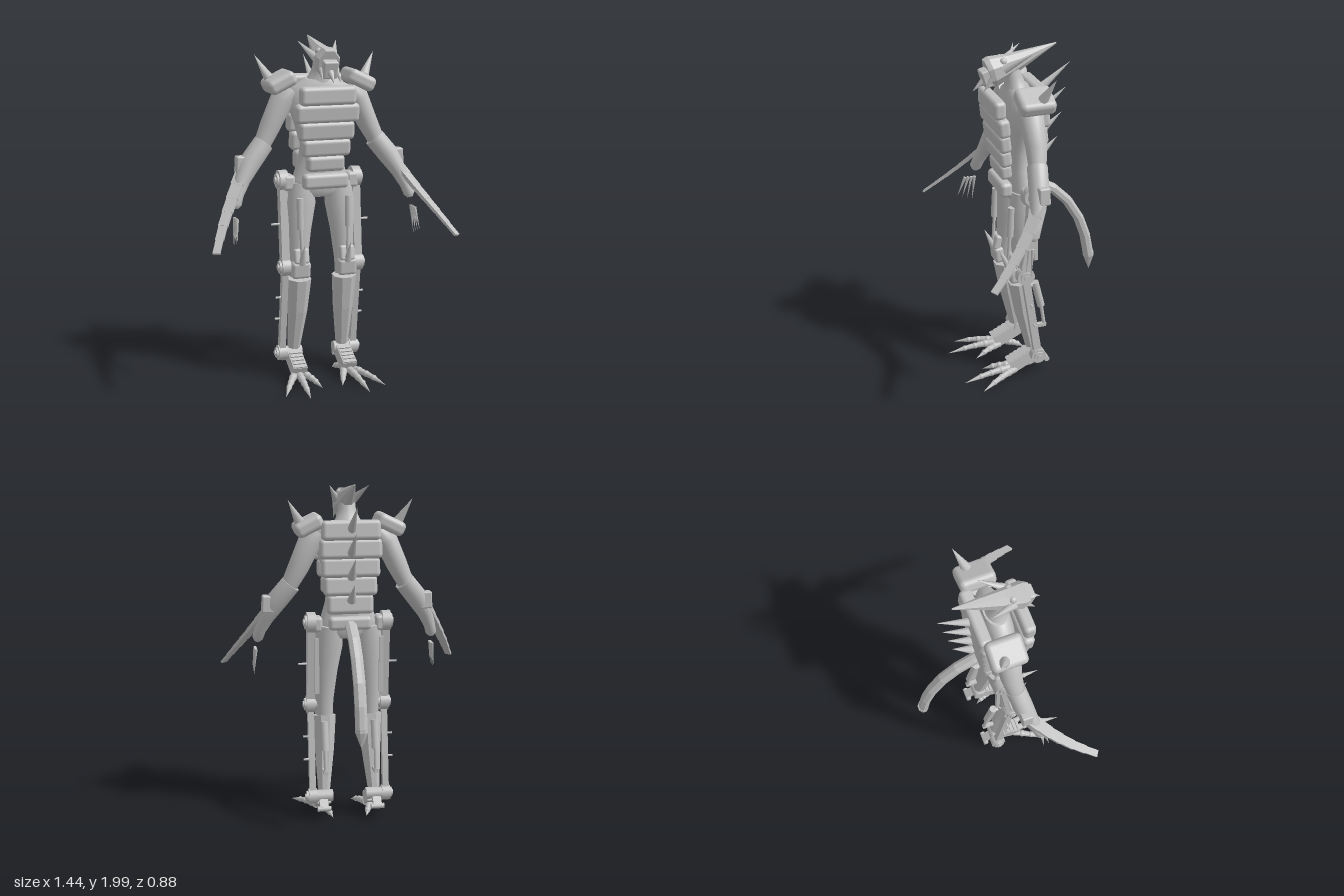
import * as THREE from 'three';
import { RoundedBoxGeometry } from 'three/addons/geometries/RoundedBoxGeometry.js';

const grey = new THREE.MeshStandardMaterial({ color: 0xc0c0c0 });
grey.name = 'light grey armour';
const V = (p) => new THREE.Vector3(...p);
const UP = new THREE.Vector3(0, 1, 0);

// Skin through elliptical rings [x, y, z, radiusAcross, radiusDeep] set square to their path
function sweepGeometry(st, sides, flat) {
  const pos = [], idx = [], c = st.map((s) => V(s));
  c.forEach((p, i) => {
    const t = c[Math.min(i + 1, c.length - 1)].clone().sub(c[Math.max(i - 1, 0)]).normalize();
    const u = new THREE.Vector3(1, 0, 0).addScaledVector(t, -t.x).normalize();
    const v = t.clone().cross(u);
    for (let j = 0; j < sides; j++) {
      const a = ((j + 0.5) / sides) * Math.PI * 2;
      const q = p.clone().addScaledVector(u, Math.cos(a) * st[i][3]).addScaledVector(v, Math.sin(a) * st[i][4]);
      pos.push(q.x, q.y, q.z);
    }
  });
  for (let i = 0; i < c.length - 1; i++) for (let j = 0; j < sides; j++) {
    const a = i * sides + j, b = i * sides + ((j + 1) % sides);
    idx.push(a, b, b + sides, a, b + sides, a + sides);
  }
  // End caps with their own corners
  [0, c.length - 1].forEach((ring, end) => {
    const base = pos.length / 3;
    pos.push(c[ring].x, c[ring].y, c[ring].z);
    for (let j = 0; j < sides; j++) pos.push(...pos.slice((ring * sides + j) * 3, (ring * sides + j) * 3 + 3));
    for (let j = 0; j < sides; j++) {
      const a = base + 1 + j, b = base + 1 + ((j + 1) % sides);
      if (end) idx.push(base, a, b); else idx.push(base, b, a);
    }
  });
  let g = new THREE.BufferGeometry();
  g.setAttribute('position', new THREE.Float32BufferAttribute(pos, 3));
  g.setIndex(idx);
  if (flat) g = g.toNonIndexed();
  g.computeVertexNormals();
  return g;
}

export function createModel() {
  const root = new THREE.Group();
  root.name = 'armouredCreature';
  const add = (name, geo, p = [0, 0, 0], r = [0, 0, 0]) => {
    const m = new THREE.Mesh(geo, grey);
    m.name = name;
    m.position.set(...p);
    m.rotation.set(...r);
    root.add(m);
    return m;
  };
  const sweep = (name, st, sides = 20, flat = false) => add(name, sweepGeometry(st, sides, flat));
  const plate = (name, size, p, r, radius = 0.02) => add(name, new RoundedBoxGeometry(...size, 3, radius), p, r);
  const between = (name, geo, a, b) => {
    const m = add(name, geo, V(a).lerp(V(b), 0.5).toArray());
    m.quaternion.setFromUnitVectors(UP, V(b).sub(V(a)).normalize());
    return m;
  };
  const dist = (a, b) => V(a).distanceTo(V(b));
  const rod = (name, a, b, r0, r1 = r0, n = 12) => between(name, new THREE.CylinderGeometry(r1, r0, dist(a, b), n), a, b);
  const spike = (name, a, b, r, n = 8) => between(name, new THREE.ConeGeometry(r, dist(a, b), n), a, b);
  const bar = (name, a, b, w, d) => between(name, new THREE.BoxGeometry(w, dist(a, b), d), a, b);

  // Body, neck and head
  sweep('torso', [
    [0, 1.095, 0.04, 0.1, 0.055], [0, 1.13, 0.04, 0.185, 0.075], [0, 1.2, 0.04, 0.165, 0.08],
    [0, 1.3, 0.045, 0.135, 0.07], [0, 1.4, 0.05, 0.12, 0.07], [0, 1.55, 0.05, 0.165, 0.085],
    [0, 1.66, 0.045, 0.21, 0.085], [0, 1.73, 0.04, 0.17, 0.08], [0, 1.775, 0.045, 0.09, 0.065],
  ], 28);
  sweep('neck', [[0, 1.73, 0.045, 0.11, 0.075], [0, 1.785, 0.055, 0.07, 0.058], [0, 1.83, 0.065, 0.052, 0.05], [0, 1.9, 0.08, 0.045, 0.05]]);
  sweep('head', [
    [0, 1.86, 0.21, 0.064, 0.085], [0, 1.868, 0.185, 0.072, 0.09],
    [0, 1.898, 0.08, 0.056, 0.064], [0, 1.993, -0.19, 0.004, 0.004],
  ], 8, true);
  plate('snout', [0.085, 0.1, 0.07], [0, 1.84, 0.212], [0.3, 0, 0], 0.01);
  spike('beak', [0, 1.825, 0.23], [0, 1.765, 0.3], 0.022);

  // Chest plates: [half width, y, z, height, tilt]
  [[0.163, 1.687, 0.188, 0.106, 0], [0.187, 1.588, 0.172, 0.108, 0.1], [0.163, 1.488, 0.16, 0.108, 0.12],
    [0.143, 1.392, 0.15, 0.102, 0.14], [0.112, 1.3, 0.14, 0.092, 0.1], [0.135, 1.198, 0.145, 0.088, 0]]
    .forEach(([w, y, z, h, t]) => plate('chestPlate', [w * 2, h, 0.07], [0, y, z], [t, 0, 0], 0.025));
  // Back plates and their spikes
  [0.17, 0.18, 0.17, 0.155, 0.135].forEach((w, i) =>
    plate('backPlate', [w * 2, 0.115, 0.075], [0, 1.73 - i * 0.107, -0.068 + i * 0.008], [0.12, 0, 0], 0.025));
  plate('hipBackPlate', [0.25, 0.08, 0.06], [0, 1.19, -0.035], [0, 0, 0], 0.025);
  for (let i = 0; i < 4; i++) {
    const y = 1.735 - i * 0.135;
    spike('backSpike', [0, y, -0.09], [0, y + 0.145 - i * 0.012, -0.28 + i * 0.025], 0.027);
  }

  // Tail
  const tail = [[1.19, -0.03], [1.17, -0.08], [1.115, -0.18], [1.025, -0.27], [0.9, -0.345], [0.78, -0.388], [0.65, -0.412]];
  sweep('tail', tail.map(([y, z]) => [0, y, z, 0.036, 0.031]), 8, true);
  sweep('tailTip', [[0, 0.665, -0.412, 0.037, 0.033], [0, 0.64, -0.414, 0.037, 0.033], [0, 0.55, -0.418, 0.002, 0.002]], 8, true);

  for (const s of [1, -1]) {
    const X = (x, y, z) => [s * x, y, z];
    // Face horns, eyes and mandibles
    spike('horn', X(0.05, 1.89, 0.13), X(0.115, 1.98, -0.02), 0.026);
    add('eye', new THREE.SphereGeometry(0.022, 16, 12), X(0.033, 1.928, 0.13));
    spike('mandible', X(0.045, 1.84, 0.2), X(0.052, 1.765, 0.255), 0.016, 6);

    // Shoulder pad and spike
    plate('shoulderPad', [0.17, 0.085, 0.205], X(0.235, 1.755, 0.018), [0, 0, -s * 0.45], 0.03);
    spike('shoulderSpike', X(0.285, 1.775, -0.01), X(0.357, 1.905, -0.06), 0.03);

    // Arm
    sweep('upperArm', [[0.17, 1.71, 0.035, 0.05, 0.055], [0.225, 1.65, 0.035, 0.068, 0.07],
      [0.29, 1.51, 0.03, 0.06, 0.06], [0.36, 1.37, 0.045, 0.045, 0.045]]
      .map(([x, ...r]) => [s * x, ...r]));
    sweep('forearm', [[0.333, 1.415, 0.04, 0.06, 0.056], [0.41, 1.32, 0.058, 0.062, 0.056], [0.47, 1.22, 0.085, 0.046, 0.044],
      [0.505, 1.14, 0.113, 0.034, 0.036], [0.52, 1.09, 0.13, 0.032, 0.036], [0.523, 1.068, 0.135, 0.016, 0.016]]
      .map(([x, ...r]) => [s * x, ...r]));
    plate('elbowGuard', [0.072, 0.1, 0.064], X(0.465, 1.3, 0.053), [0, 0, s * 0.05], 0.01);

    // Segmented forearm blade
    const curve = new THREE.CatmullRomCurve3([[0.46, 1.27, 0.065], [0.545, 1.14, 0.16], [0.63, 1.01, 0.28], [0.7, 0.893, 0.41]].map((p) => V(X(...p))));
    const facing = V(X(0.45, 0.66, 0.58));
    for (let i = 0; i < 6; i++) {
      const a = curve.getPointAt(i / 6), b = curve.getPointAt((i + 1) / 6), t = b.clone().sub(a);
      const len = t.length();
      t.normalize();
      const n = facing.clone().addScaledVector(t, -t.dot(facing)).normalize();
      const m = add('bladeSegment', new THREE.BoxGeometry(0.076 - i * 0.007, len + 0.012, 0.024 - i * 0.002));
      m.position.copy(a.add(b).multiplyScalar(0.5));
      m.quaternion.setFromRotationMatrix(new THREE.Matrix4().makeBasis(t.clone().cross(n), t, n));
    }
    // Finger claws
    for (let i = 0; i < 4; i++)
      spike('fingerClaw', X(0.53, 1.02, 0.135 + i * 0.02), X(0.543, 0.855 + i * 0.012, 0.15 + i * 0.032), 0.01, 6);

    // Leg
    sweep('thigh', [[0.11, 1.17, 0.035, 0.075, 0.075], [0.118, 1.06, 0.045, 0.088, 0.08], [0.13, 0.9, 0.055, 0.07, 0.066],
      [0.138, 0.72, 0.065, 0.055, 0.055], [0.138, 0.63, 0.072, 0.052, 0.052]].map(([x, ...r]) => [s * x, ...r]), 16);
    plate('kneePad', [0.112, 0.1, 0.06], X(0.14, 0.68, 0.12), [0.1, 0, 0], 0.02);
    plate('thighGuard', [0.09, 0.09, 0.045], X(0.138, 0.76, 0.125), [-0.25, 0, 0], 0.015);
    spike('kneeSpike', X(0.138, 0.72, 0.14), X(0.138, 0.845, 0.2), 0.024);
    sweep('shin', [[0.137, 0.62, 0.078, 0.072, 0.066], [0.14, 0.42, 0.05, 0.059, 0.056], [0.15, 0.18, 0.005, 0.037, 0.038]]
      .map(([x, ...r]) => [s * x, ...r]), 8, true);
    rod('thighPiston', X(0.145, 1.1, 0.125), X(0.145, 0.92, 0.135), 0.02);
    rod('thighPistonRod', X(0.142, 0.92, 0.135), X(0.138, 0.76, 0.145), 0.01);
    bar('thighRearStrut', X(0.19, 1.1, -0.005), X(0.19, 0.77, -0.005), 0.025, 0.02);

    // Outer frame with round joints
    const hip = X(0.22, 1.19, 0.02), knee = X(0.22, 0.69, 0.07), ankle = X(0.22, 0.145, -0.01);
    bar('upperFrame', hip, knee, 0.046, 0.06);
    bar('lowerFrame', knee, ankle, 0.036, 0.045);
    [[hip, 0.06], [knee, 0.052], [ankle, 0.045]].forEach(([p, r]) => {
      const at = (x) => [p[0] + s * x, p[1], p[2]];
      rod('jointDrum', at(-0.025), at(0.025), r, r, 24);
      rod('jointCap', at(0.02), at(0.037), r * 0.68, r * 0.68, 20);
      rod('jointBolt', at(0.03), at(0.045), r * 0.35, r * 0.35, 12);
    });
    plate('hipBlock', [0.07, 0.09, 0.1], X(0.19, 1.18, 0.03), [0, 0, 0], 0.02);
    rod('kneeAxle', X(0.1, 0.69, 0.07), X(0.22, 0.69, 0.07), 0.035);
    rod('ankleAxle', X(0.1, 0.145, -0.01), X(0.22, 0.145, -0.01), 0.036);
    [[0.94, 0.045, 0.292], [0.5, 0.04, 0.268], [0.365, 0.02, 0.268]].forEach(([y, z, x]) => {
      rod('framePeg', X(0.215, y, z), X(x, y, z), 0.007, 0.007, 8);
    });

    // Calf piston and heel lever
    rod('calfPiston', X(0.15, 0.6, -0.015), X(0.15, 0.435, -0.055), 0.023);
    rod('calfPistonRod', X(0.15, 0.44, -0.055), X(0.15, 0.305, -0.075), 0.011);
    bar('calfBracket', X(0.15, 0.305, -0.085), X(0.15, 0.305, 0), 0.025, 0.022);
    rod('calfMount', X(0.15, 0.585, -0.015), X(0.15, 0.58, 0.05), 0.015);
    bar('heelLever', X(0.16, 0.14, -0.01), X(0.16, 0.085, -0.08), 0.05, 0.03);
    rod('heelPin', X(0.12, 0.085, -0.078), X(0.2, 0.085, -0.078), 0.016);

    // Foot with stepped treads
    bar('foot', X(0.153, 0.135, -0.005), X(0.153, 0.062, 0.145), 0.085, 0.075);
    for (let i = 0; i < 5; i++)
      add('footTread', new THREE.BoxGeometry(0.075, 0.02, 0.018), X(0.153, 0.15 - i * 0.013, 0.045 + i * 0.026), [0.45, 0, 0]);

    // Jointed toes: claw tip x and z, root x and z; the last points backwards
    [[0.302, 0.36, 0.18, 0.12], [0.177, 0.435, 0.155, 0.14], [0.06, 0.29, 0.125, 0.12], [0.1, -0.035, 0.14, 0.07]]
      .forEach(([tx, tz, bx, bz]) => {
        const at = (f) => X(bx + (tx - bx) * f, 0.046 - 0.036 * f * f, bz + (tz - bz) * f);
        for (let i = 0; i < 3; i++) {
          const r = 0.023 - i * 0.003;
          rod('toeSegment', at(i * 0.22), at(i * 0.22 + 0.2), r, r * 0.8, 10);
          add('toeKnuckle', new THREE.SphereGeometry(r, 12, 8), at(i * 0.22 + 0.2));
        }
        spike('toeClaw', at(0.62), at(1), 0.016);
      });
  }
  return root;
}
